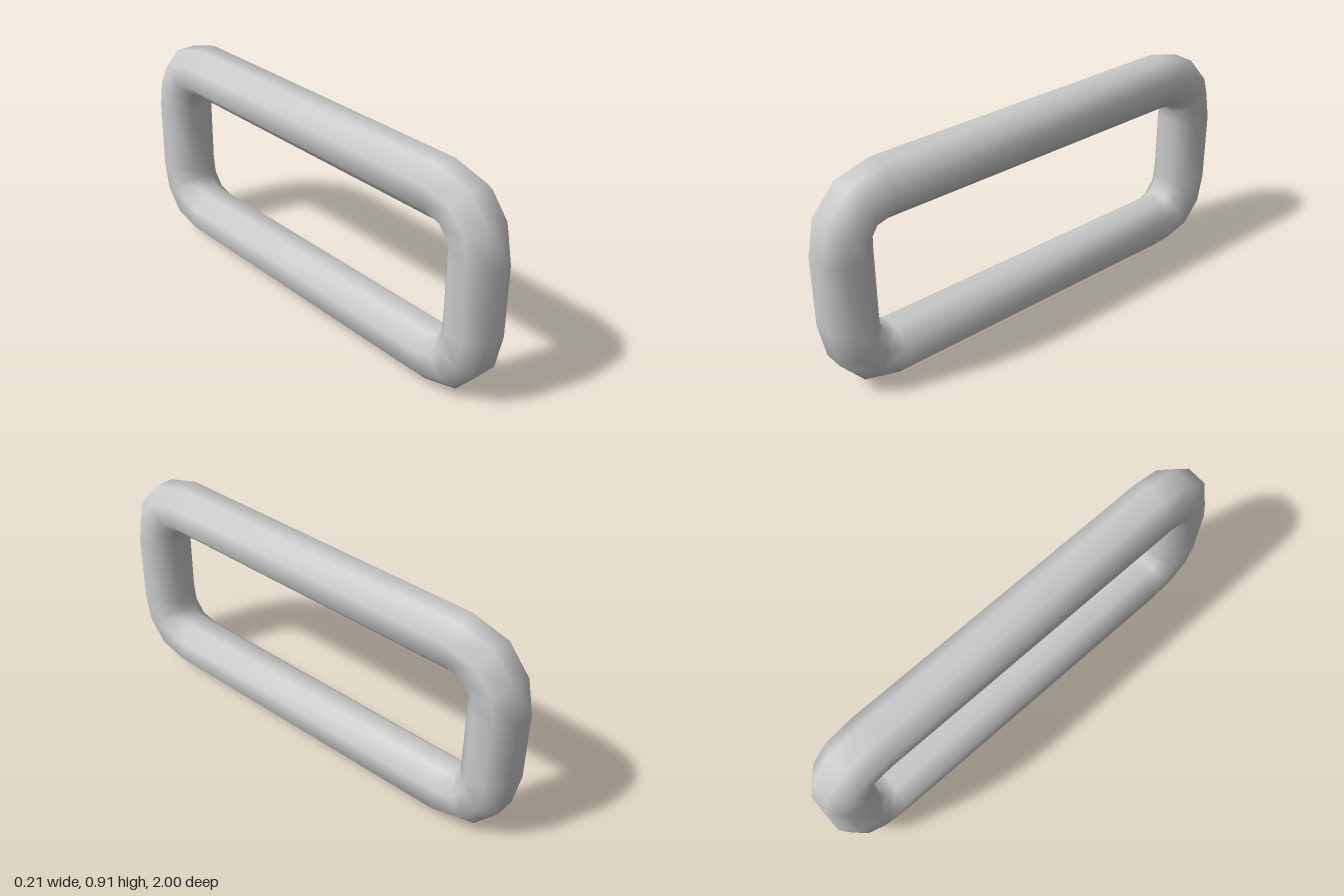
import * as THREE from 'three';

const MID_Y = 0.456; // height of the loop's centre
const APOTHEM = 0.107; // half thickness of the octagonal bar
const SIDES = 8;

// Centreline of one corner as [z, y, angle], from the end bar to the long bar
const CORNER = [
  [0.893, 0.149, 0],
  [0.877, 0.245, 30],
  [0.8165, 0.321, 60],
  [0.715, 0.349, 90],
];

// Mirror the corner into all four quadrants, in order around the loop
function loopStations() {
  const stations = [];
  for (const [sz, sy] of [[1, 1], [-1, 1], [-1, -1], [1, -1]]) {
    const corner = sz * sy > 0 ? CORNER : [...CORNER].reverse();
    for (const [z, y, deg] of corner) {
      const a = THREE.MathUtils.degToRad(deg);
      stations.push({ z: z * sz, y: y * sy, dz: Math.cos(a) * sz, dy: Math.sin(a) * sy });
    }
  }
  return stations;
}

// Closed sweep of an octagon, flats facing outward and sideways
function loopGeometry() {
  const stations = loopStations();
  const radius = APOTHEM / Math.cos(Math.PI / SIDES);
  const positions = [];
  const index = [];
  stations.forEach((s, i) => {
    const next = (i + 1) % stations.length;
    for (let k = 0; k < SIDES; k++) {
      const a = ((k + 0.5) / SIDES) * Math.PI * 2;
      const out = Math.cos(a) * radius;
      positions.push(Math.sin(a) * radius, MID_Y + s.y + s.dy * out, s.z + s.dz * out);
      const k2 = (k + 1) % SIDES;
      const p = i * SIDES + k, q = i * SIDES + k2;
      const r = next * SIDES + k, t = next * SIDES + k2;
      index.push(p, q, r, q, t, r);
    }
  });
  const geometry = new THREE.BufferGeometry();
  geometry.setAttribute('position', new THREE.Float32BufferAttribute(positions, 3));
  geometry.setIndex(index);
  geometry.computeVertexNormals();
  return geometry;
}

export function createModel() {
  const group = new THREE.Group();
  group.name = 'chainLink';
  const loop = new THREE.Mesh(loopGeometry(), new THREE.MeshStandardMaterial({ color: 0xcccccc }));
  loop.name = 'linkLoop';
  group.add(loop);
  return group;
}
